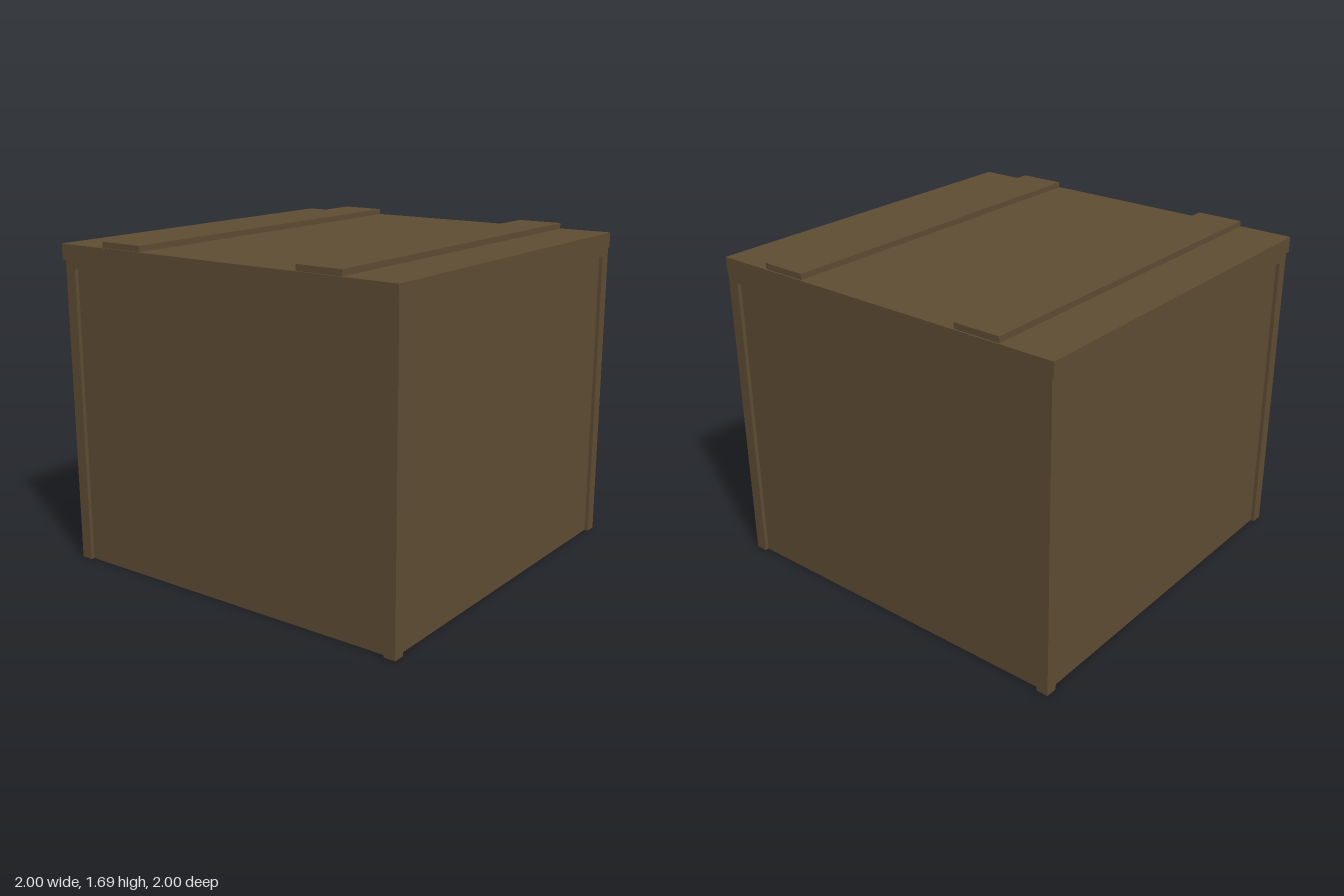
import * as THREE from 'three';

export function createModel() {
  const crate = new THREE.Group();
  crate.name = 'crate';
  const wood = new THREE.MeshStandardMaterial({ color: 0x5f4d34 });
  wood.name = 'brown wood';

  // Box given by its lowest and highest corner
  const addBox = (name, [x0, y0, z0], [x1, y1, z1], parent) => {
    const mesh = new THREE.Mesh(new THREE.BoxGeometry(x1 - x0, y1 - y0, z1 - z0), wood);
    mesh.name = name;
    mesh.position.set((x0 + x1) / 2, (y0 + y1) / 2, (z0 + z1) / 2);
    parent.add(mesh);
  };

  const half = 0.993;          // half width of the body frame
  const inner = 0.931;         // inner edge of the corner posts
  const recess = 0.02;         // depth of the side panels behind the frame
  const bodyTop = 1.58, railBottom = 1.54, lidTop = 1.66;

  // Body sits slightly back, so its rear is flush with the lid
  const body = new THREE.Group();
  body.name = 'body';
  body.position.z = -0.007;
  crate.add(body);

  // Recessed panels
  const p = half - recess;
  addBox('sidePanels', [-p, 0, -p], [p, bodyTop, p], body);

  // Corner posts
  for (const sx of [-1, 1]) {
    for (const sz of [-1, 1]) {
      const xs = [sx * inner, sx * half].sort((a, b) => a - b);
      const zs = [sz * inner, sz * half].sort((a, b) => a - b);
      addBox('cornerPost', [xs[0], 0, zs[0]], [xs[1], bodyTop, zs[1]], body);
    }
  }

  // Top rails between the posts, one per side
  for (let i = 0; i < 4; i++) {
    const side = new THREE.Group();
    side.name = 'railSide';
    side.rotation.y = i * Math.PI / 2;
    addBox('topRail', [-inner, railBottom, p], [inner, bodyTop, half], side);
    body.add(side);
  }

  // Lid with two raised slats running front to back
  addBox('lid', [-1, bodyTop, -1], [1, lidTop, 1], crate);
  for (const x of [-0.593, 0.59]) {
    addBox('lidSlat', [x - 0.123, lidTop, -0.992], [x + 0.123, 1.69, 0.992], crate);
  }
  return crate;
}
